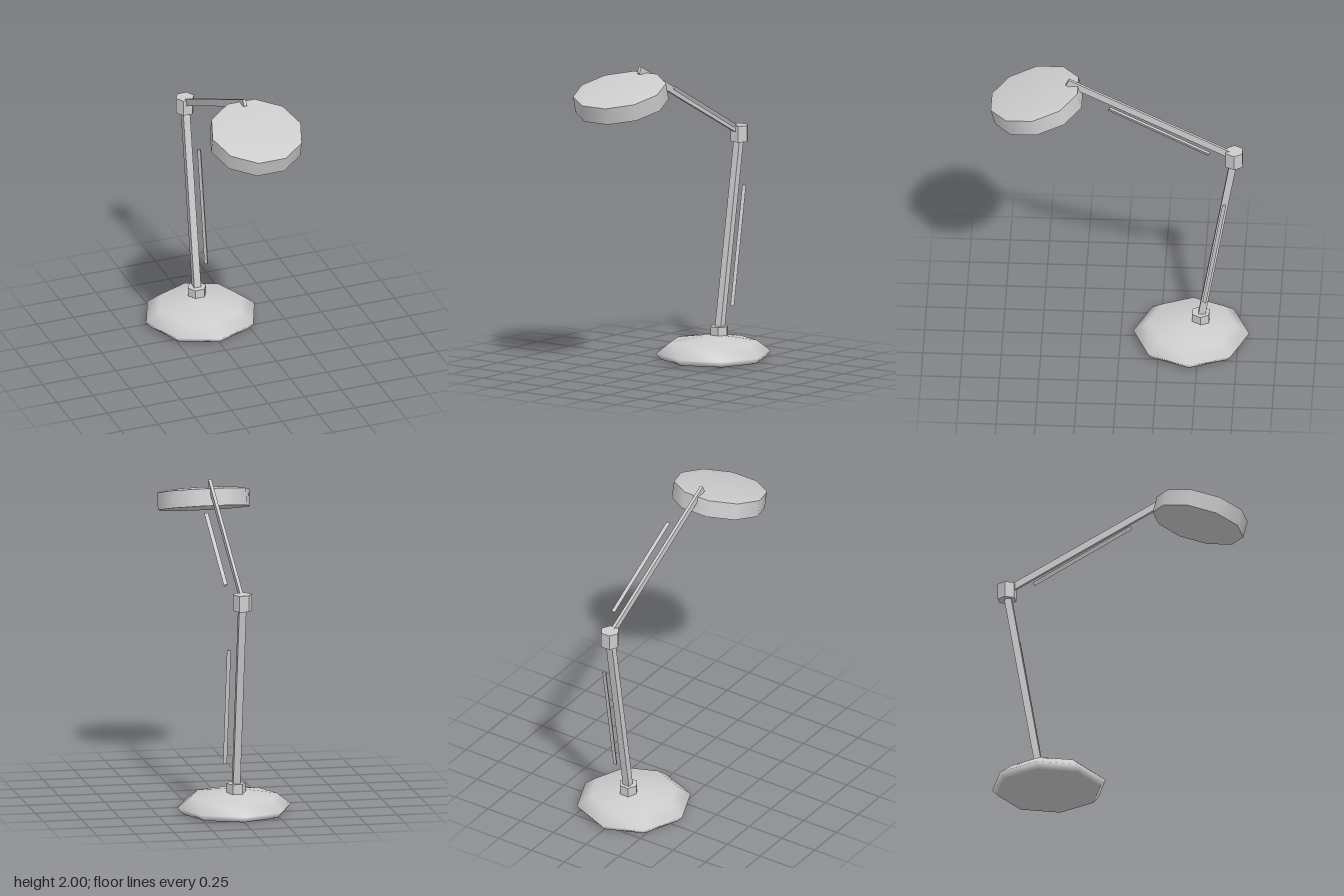
import * as THREE from 'three';

export function createModel() {
  const lamp = new THREE.Group();
  lamp.name = 'deskLamp';

  const smoothGrey = new THREE.MeshStandardMaterial({ color: 0xcccccc, name: 'light grey' });
  // same grey for the faceted parts
  const flatGrey = smoothGrey.clone();
  flatGrey.flatShading = true;

  const add = (name, geometry, material, parent = lamp) => {
    const mesh = new THREE.Mesh(geometry, material);
    mesh.name = name;
    parent.add(mesh);
    return mesh;
  };
  const lathe = (points, sides) =>
    new THREE.LatheGeometry(points.map(([r, y]) => new THREE.Vector2(r, y)), sides);

  // Places a part of unit height between two [y, z] points at the given x
  const span = (name, geometry, x, [y0, z0], [y1, z1]) => {
    const mesh = add(name, geometry, flatGrey);
    mesh.scale.y = Math.hypot(y1 - y0, z1 - z0);
    mesh.position.set(x, (y0 + y1) / 2, (z0 + z1) / 2);
    mesh.rotation.x = Math.atan2(z1 - z0, y1 - y0);
  };

  // Octagonal base with a low domed top
  add('base', lathe([[0, 0], [0.335, 0], [0.37, 0.04], [0.28, 0.11], [0.07, 0.145], [0, 0.145]], 8), smoothGrey)
    .position.z = -0.45;

  // Hexagonal joints
  const joint = (name, y0, y1, z) =>
    add(name, new THREE.CylinderGeometry(0.062, 0.062, y1 - y0, 6, 1, false, Math.PI / 2), flatGrey)
      .position.set(0, (y0 + y1) / 2, z);
  joint('lowerJoint', 0.12, 0.2, -0.511);
  joint('upperJoint', 1.367, 1.472, -0.724);

  // Arms
  span('lowerArm', new THREE.BoxGeometry(0.046, 1, 0.045), 0, [0.16, -0.512], [1.42, -0.724]);
  span('upperArm', new THREE.BoxGeometry(0.02, 1, 0.045), 0, [1.43, -0.728], [1.98, 0.34]);

  // Three-sided springs beside the arms
  const spring = () => new THREE.CylinderGeometry(0.015, 0.015, 1, 3);
  span('lowerSpring', spring(), 0.078, [0.335, -0.54], [1.1, -0.667]);
  span('upperSpring', spring(), 0.078, [1.5, -0.567], [1.835, 0.07]);

  // Tilted ten-sided lamp head
  const head = new THREE.Group();
  head.name = 'head';
  head.position.set(0, 1.775, 0.521);
  head.rotation.set(THREE.MathUtils.degToRad(14.8), Math.PI / 2, 0);
  lamp.add(head);
  add('headRim', new THREE.CylinderGeometry(0.3, 0.3, 0.11, 10, 1, true), smoothGrey, head).position.y = 0.055;
  add('headTop', lathe([[0.3, 0.11], [0.22, 0.125], [0, 0.13]], 10), smoothGrey, head).position.y = 0;
  const under = add('headUnderside', new THREE.CircleGeometry(0.3, 10, Math.PI / 2), smoothGrey, head);
  under.rotation.x = Math.PI / 2;

  return lamp;
}
